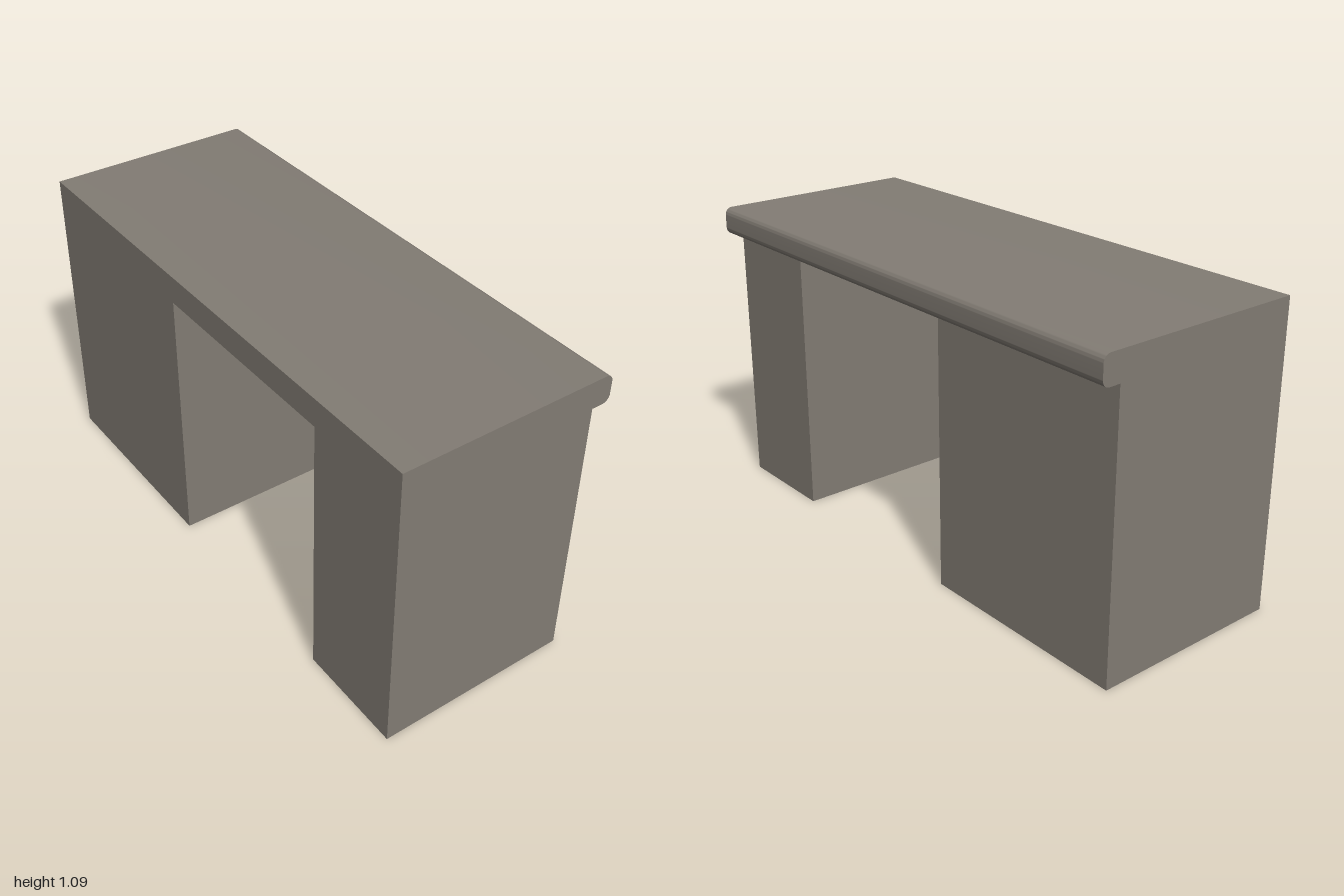
import * as THREE from 'three';
import { toCreasedNormals } from 'three/addons/utils/BufferGeometryUtils.js';

const HEIGHT = 1.085, SLAB = 0.1, LENGTH = 1.986, WIDTH = 0.777;
const OVERHANG = 0.067, RADIUS = 0.026;

export function createModel() {
  const group = new THREE.Group();
  group.name = 'bench';
  const stone = new THREE.MeshStandardMaterial({ color: 0x827c74 });
  stone.name = 'warm grey stone';

  const back = -WIDTH / 2, front = WIDTH / 2, end = LENGTH / 2;
  const legHeight = HEIGHT - SLAB;

  // Slab profile with its overhanging edge rounded above and below
  const profile = new THREE.Shape();
  profile.moveTo(back, legHeight);
  profile.lineTo(front - RADIUS, legHeight);
  profile.absarc(front - RADIUS, legHeight + RADIUS, RADIUS, -Math.PI / 2, 0);
  profile.absarc(front - RADIUS, HEIGHT - RADIUS, RADIUS, 0, Math.PI / 2);
  profile.lineTo(back, HEIGHT);
  profile.closePath();
  const slabGeometry = new THREE.ExtrudeGeometry(profile, {
    depth: LENGTH, bevelEnabled: false, curveSegments: 8,
  });
  slabGeometry.translate(0, 0, -end);
  const slab = new THREE.Mesh(toCreasedNormals(slabGeometry, 0.6), stone);
  slab.name = 'topSlab';
  group.add(slab);

  // Block legs, flush with the slab's ends and back edge
  const addLeg = (name, z0, z1) => {
    const depth = WIDTH - OVERHANG;
    const leg = new THREE.Mesh(new THREE.BoxGeometry(depth, legHeight, z1 - z0), stone);
    leg.position.set(back + depth / 2, legHeight / 2, (z0 + z1) / 2);
    leg.name = name;
    group.add(leg);
  };
  addLeg('narrowLeg', end - LENGTH * 0.2, end);
  addLeg('wideLeg', -end, -end + LENGTH * 0.4);

  // The whole bench stands slightly turned
  group.rotation.y = -0.0166;
  return group;
}
